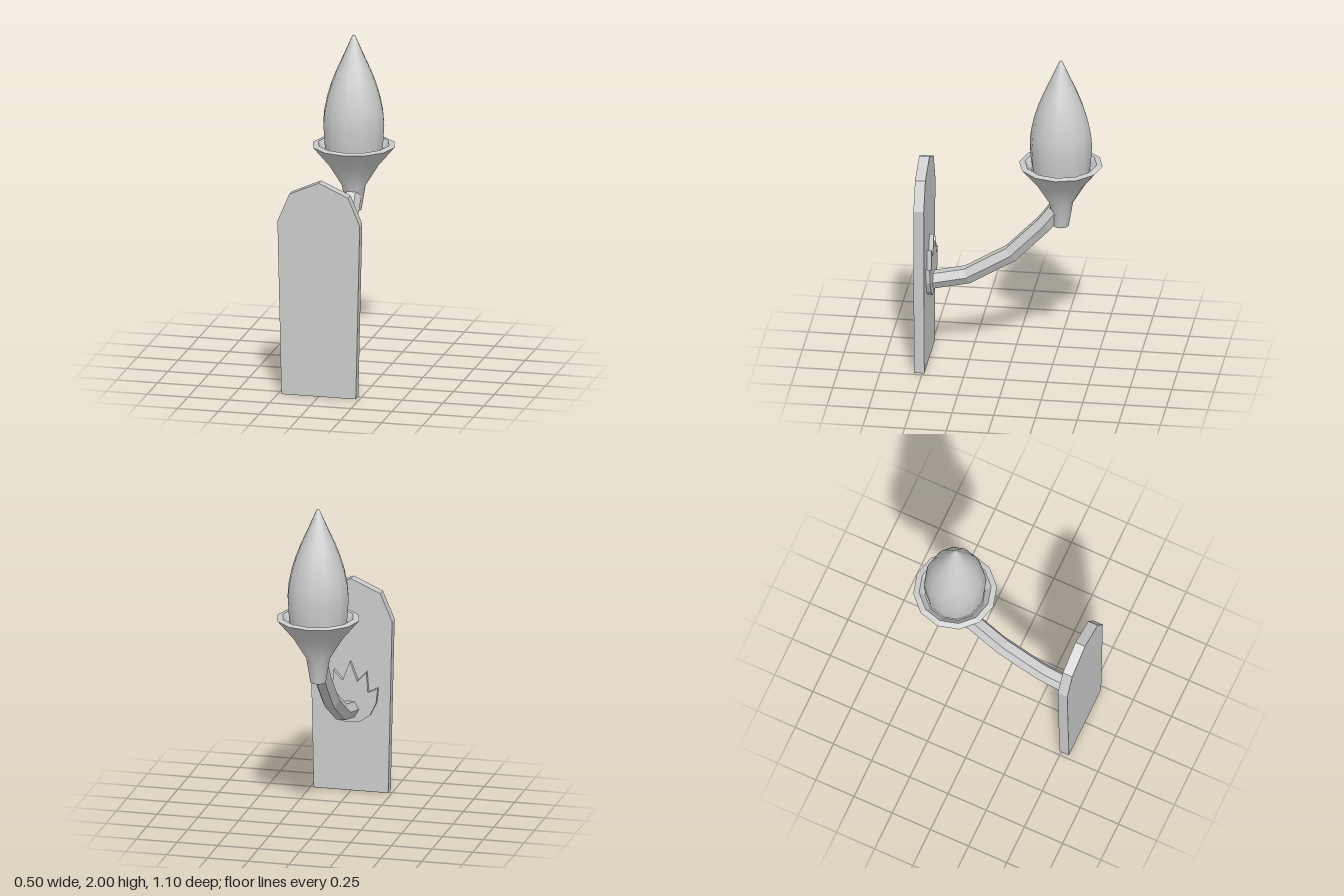
import * as THREE from 'three';

const CUP_Z = -0.3;
const SIDES = 12;

const smooth = () => new THREE.MeshStandardMaterial({ color: 0xcccccc });
const flat = () => new THREE.MeshStandardMaterial({ color: 0xcccccc, flatShading: true });

function add(group, name, geometry, material) {
  const mesh = new THREE.Mesh(geometry, material);
  mesh.name = name;
  group.add(mesh);
  return mesh;
}

// Outline mirrored in x: half runs from the bottom up the +x side to the top centre.
function mirroredSlab(half, z, depth) {
  const left = half.filter(([x]) => x > 0).reverse().map(([x, y]) => [-x, y]);
  const shape = new THREE.Shape([...half, ...left].map(([x, y]) => new THREE.Vector2(x, y)));
  return new THREE.ExtrudeGeometry(shape, { depth, bevelEnabled: false }).translate(0, 0, z);
}

function lathe(points) {
  return new THREE.LatheGeometry(points.map(([r, y]) => new THREE.Vector2(r, y)), SIDES)
    .translate(0, 0, CUP_Z);
}

// Hexagonal bar swept along a path of [z, y] points with mitred joints.
function hexBar(path, radius) {
  const pts = path.map(([z, y]) => new THREE.Vector2(z, y));
  const positions = [], index = [];
  pts.forEach((p, i) => {
    const before = p.clone().sub(pts[Math.max(i - 1, 0)]).normalize();
    const after = pts[Math.min(i + 1, pts.length - 1)].clone().sub(p).normalize();
    const dir = before.clone().add(after).normalize();
    const miter = 1 / dir.dot(i === 0 ? after : before);
    for (let j = 0; j < 6; j++) {
      const a = (j * Math.PI) / 3;
      const n = Math.sin(a) * radius * miter;
      positions.push(Math.cos(a) * radius, p.y - dir.x * n, p.x + dir.y * n);
      if (i < pts.length - 1) {
        const k = (j + 1) % 6, r = i * 6;
        index.push(r + j, r + 6 + k, r + k, r + j, r + 6 + j, r + 6 + k);
      }
    }
  });
  const geometry = new THREE.BufferGeometry();
  geometry.setAttribute('position', new THREE.Float32BufferAttribute(positions, 3));
  geometry.setIndex(index);
  const faceted = geometry.toNonIndexed();
  faceted.computeVertexNormals();
  return faceted;
}

export function createModel() {
  const group = new THREE.Group();
  group.name = 'wallSconce';

  // Wall plate with a faceted arched top
  add(group, 'wallPlate', mirroredSlab(
    [[0.228, 0], [0.252, 1.07], [0.18, 1.24], [0, 1.32]], 0.488, 0.062), flat());

  // Five-pointed leaf ornament at the foot of the arm
  add(group, 'leafOrnament', mirroredSlab(
    [[0.05, 0.435], [0.12, 0.48], [0.16, 0.56], [0.17, 0.655], [0.11, 0.625],
      [0.1, 0.75], [0.045, 0.69], [0, 0.81]], 0.462, 0.03), flat());

  // Curved arm
  add(group, 'arm', hexBar(
    [[0.47, 0.513], [0.26, 0.56], [0, 0.717], [-0.2, 0.925], [-0.27, 1.02]], 0.055), flat());

  // Flared cup: underside, outside, rim and inside are separate to keep their edges sharp
  const cup = new THREE.Group();
  cup.name = 'cup';
  group.add(cup);
  add(cup, 'cupBase', lathe([[0, 0.92], [0.047, 0.92]]), flat());
  add(cup, 'cupBody', lathe(
    [[0.047, 0.92], [0.073, 1.075], [0.15, 1.2], [0.225, 1.29], [0.25, 1.32]]), smooth());
  add(cup, 'cupRim', lathe([[0.25, 1.32], [0.215, 1.328]]), flat());
  add(cup, 'cupInside', lathe([[0.215, 1.328], [0.18, 1.285], [0, 1.285]]), flat());

  // Flame-shaped bulb
  add(group, 'flame', lathe(
    [[0.172, 1.285], [0.18, 1.34], [0.187, 1.45], [0.18, 1.53], [0.161, 1.62],
      [0.136, 1.7], [0.105, 1.78], [0.055, 1.89], [0.01, 1.994], [0, 2]]), smooth());

  return group;
}
